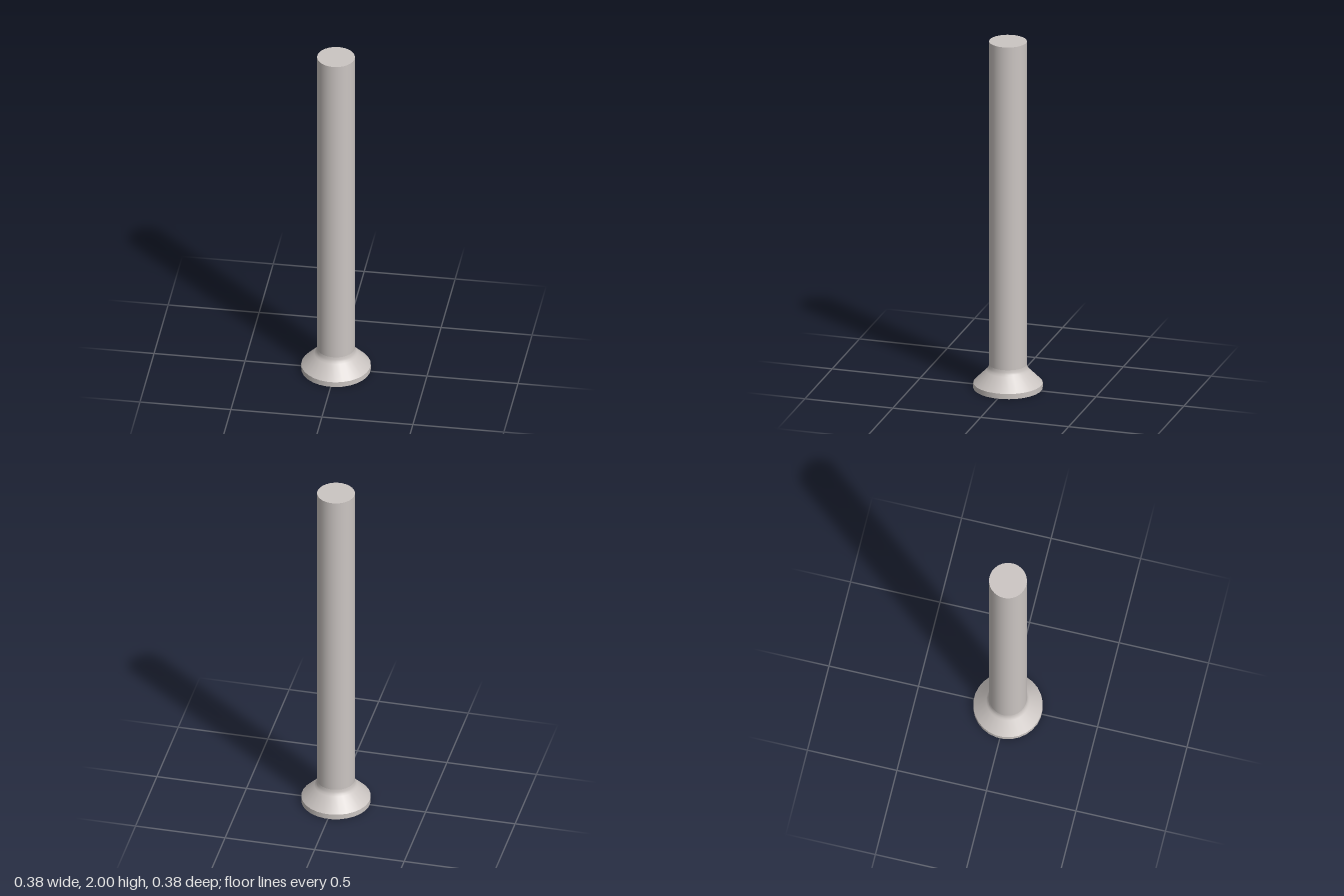
import * as THREE from 'three';

const SEGMENTS = 28;
const HEAD_R = 0.189;
const SHAFT_R = 0.103;
const RECESS_DEPTH = 0.13;

// Twelve corners of a plus shape, turned 45 degrees from the x and z axes
function crossPoints(reach, half) {
  const points = [];
  for (let i = 0; i < 4; i++) {
    const corners = [[reach, -half], [reach, half], [half, half]];
    for (const [x, y] of corners) {
      points.push(new THREE.Vector2(x, y).rotateAround(new THREE.Vector2(), Math.PI / 4 + i * Math.PI / 2));
    }
  }
  return points;
}

function circlePoints(radius) {
  return Array.from({ length: SEGMENTS }, (_, i) => {
    const a = (i + 0.5) * 2 * Math.PI / SEGMENTS;
    return new THREE.Vector2(radius * Math.cos(a), radius * Math.sin(a));
  });
}

function lathe(profile) {
  const points = profile.map(([r, y]) => new THREE.Vector2(r, y));
  return new THREE.LatheGeometry(points, SEGMENTS, Math.PI / SEGMENTS);
}

// Tapered inner walls joining the mouth of the recess to its floor
function recessWalls(mouth, floor, depth) {
  const positions = [];
  mouth.forEach((p, i) => {
    const j = (i + 1) % mouth.length;
    const a = [p.x, 0, p.y];
    const b = [mouth[j].x, 0, mouth[j].y];
    const c = [floor[j].x, depth, floor[j].y];
    const d = [floor[i].x, depth, floor[i].y];
    positions.push(...a, ...b, ...c, ...a, ...c, ...d);
  });
  const geometry = new THREE.BufferGeometry();
  geometry.setAttribute('position', new THREE.Float32BufferAttribute(positions, 3));
  geometry.computeVertexNormals();
  return geometry;
}

export function createModel() {
  const model = new THREE.Group();
  model.name = 'countersunkScrew';
  const steel = new THREE.MeshStandardMaterial({ color: 0xcbc5c2 });
  steel.name = 'warm grey steel';

  const add = (name, geometry) => {
    const mesh = new THREE.Mesh(geometry, steel);
    mesh.name = name;
    model.add(mesh);
  };

  // Head: straight rim, then a cone with a small fillet into the shaft
  add('headRim', lathe([[HEAD_R, 0], [HEAD_R, 0.03]]));
  add('headCone', lathe([
    [HEAD_R, 0.03], [0.118, 0.101], [0.11, 0.111], [0.105, 0.122], [SHAFT_R, 0.136],
  ]));

  // Plain shaft with a flat end
  add('shaft', lathe([[SHAFT_R, 0.136], [SHAFT_R, 2]]));
  const end = new THREE.ShapeGeometry(new THREE.Shape(circlePoints(SHAFT_R)));
  add('shaftEnd', end.rotateX(-Math.PI / 2).translate(0, 2, 0));

  // Flat drive face with a cross-shaped opening
  const mouth = crossPoints(0.107, 0.03);
  const floor = crossPoints(0.07, 0.022);
  const face = new THREE.Shape(circlePoints(HEAD_R));
  face.holes.push(new THREE.Path(mouth));
  add('headFace', new THREE.ShapeGeometry(face).rotateX(Math.PI / 2));

  // Cross recess
  add('recessWalls', recessWalls(mouth, floor, RECESS_DEPTH));
  const floorGeometry = new THREE.ShapeGeometry(new THREE.Shape(floor));
  add('recessFloor', floorGeometry.rotateX(Math.PI / 2).translate(0, RECESS_DEPTH, 0));

  return model;
}
